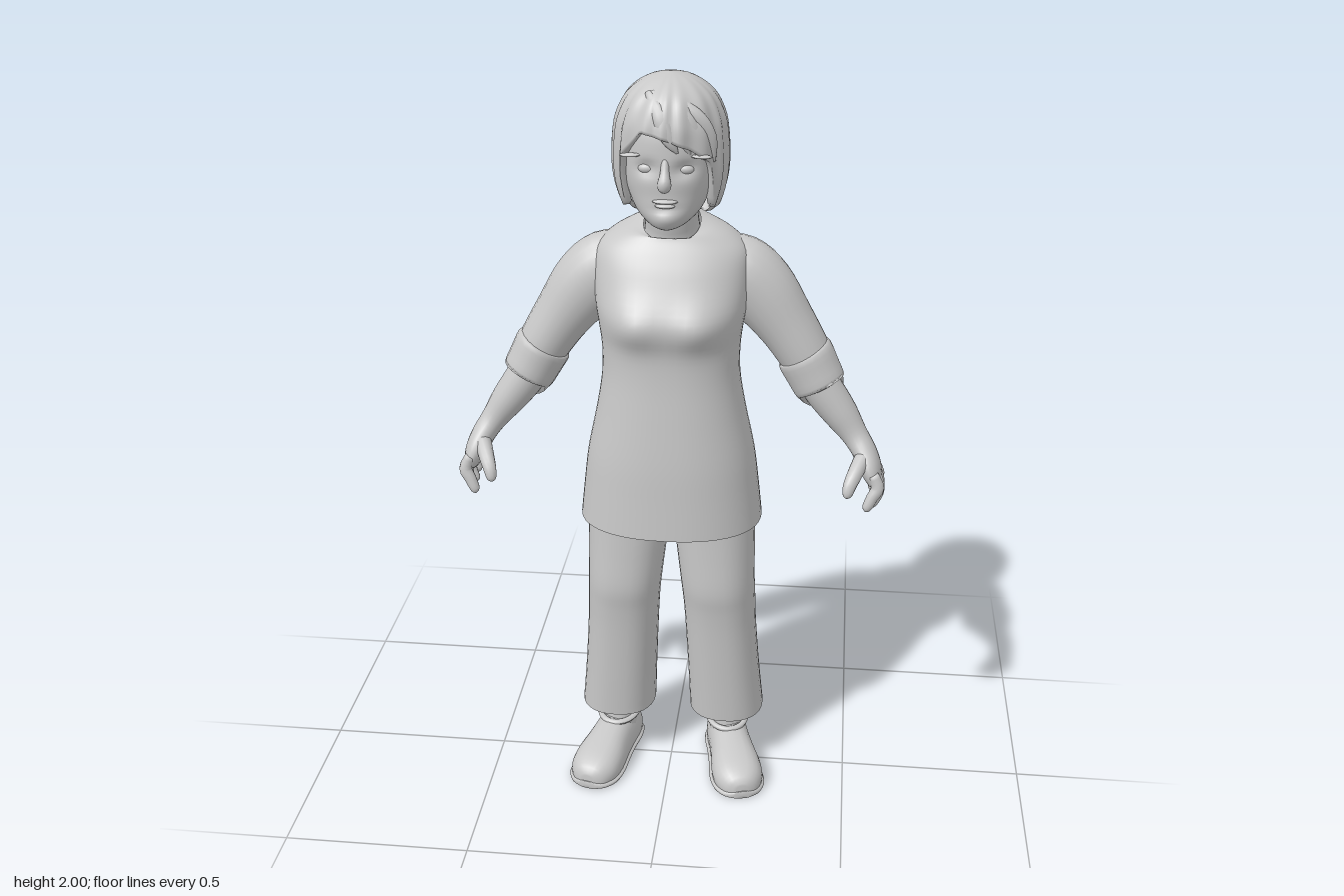
import * as THREE from 'three';

const clay = new THREE.MeshStandardMaterial({ color: 0xc8c8c8, side: THREE.DoubleSide });
clay.name = 'light grey';
const V = (x, y, z) => new THREE.Vector3(x, y, z);

// Smoothly resample a short table of key rows (Catmull-Rom per column)
function smooth(rows, steps = 4) {
  const out = [], at = i => rows[Math.min(rows.length - 1, Math.max(0, i))];
  for (let i = 0; i < rows.length - 1; i++)
    for (let s = 0; s < steps; s++) {
      const t = s / steps;
      out.push(rows[i].map((b, k) => {
        const a = at(i - 1)[k], c = at(i + 1)[k], d = at(i + 2)[k];
        return b + 0.5 * t * (c - a + t * (2 * a - 5 * b + 4 * c - d + t * (3 * (b - c) + d - a)));
      }));
    }
  out.push(rows[rows.length - 1]);
  return out;
}

// Skin closed rings of points, with optional end caps
function loft(rings, capStart = false, capEnd = false) {
  const n = rings[0].length, pts = rings.flat(), idx = [];
  for (let i = 0; i < rings.length - 1; i++)
    for (let j = 0; j < n; j++) {
      const a = i * n + j, b = i * n + (j + 1) % n;
      idx.push(a, b, b + n, a, b + n, a + n);
    }
  const cap = (i, flip) => {
    const mid = rings[i].reduce((s, p) => s.add(p), V(0, 0, 0)).divideScalar(n);
    const c = pts.push(mid) - 1;
    for (let j = 0; j < n; j++) {
      const a = i * n + j, b = i * n + (j + 1) % n;
      flip ? idx.push(c, b, a) : idx.push(c, a, b);
    }
  };
  if (capStart) cap(0, true);
  if (capEnd) cap(rings.length - 1, false);
  const g = new THREE.BufferGeometry().setFromPoints(pts);
  g.setIndex(idx);
  g.computeVertexNormals();
  return g;
}

// Horizontal ring from [y, halfWidth, zFront, zBack, frontDrop, xCentre]
function level([y, a, zf, zb, drop = 0, x = 0], n = 40, power = 2.3) {
  const sp = v => Math.sign(v) * Math.abs(v) ** (2 / power);
  return Array.from({ length: n }, (_, j) => {
    const t = j / n * Math.PI * 2, s = sp(Math.sin(t));
    return V(x + a * sp(Math.cos(t)), y + drop * s, (zf + zb) / 2 - (zf - zb) / 2 * s);
  });
}

// Limb along rows of [x, y, z, radiusInFrontPlane, radiusInDepth]
function limb(rows, steps = 4, n = 20) {
  const r = smooth(rows, steps), c = r.map(p => V(p[0], p[1], p[2]));
  return loft(r.map((p, i) => {
    const t = c[Math.min(i + 1, c.length - 1)].clone().sub(c[Math.max(i - 1, 0)]).normalize();
    const u = t.clone().cross(V(0, 0, 1)).normalize(), v = t.clone().cross(u);
    return Array.from({ length: n }, (_, j) => {
      const a = j / n * Math.PI * 2;
      return c[i].clone().addScaledVector(u, Math.cos(a) * p[3]).addScaledVector(v, Math.sin(a) * p[4]);
    });
  }), true, true);
}

// Shoe sections along z from [z, halfWidth, height], flat underneath
function shoeForm(rows) {
  const g = loft(smooth(rows, 3).map(([z, w, h]) => Array.from({ length: 24 }, (_, j) => {
    const a = j / 24 * Math.PI * 2, s = Math.sin(a), m = h * 0.35;
    return V(w * Math.sign(Math.cos(a)) * Math.abs(Math.cos(a)) ** 0.8, s > 0 ? m + (h - m) * s : m * (1 - Math.abs(s) ** 0.4), z);
  })), true, true);
  return g.rotateY(0.24).translate(0.18, 0, 0.03);
}

function blob(x, y, z, sx, sy, sz) {
  return new THREE.SphereGeometry(1, 20, 14).scale(sx, sy, sz).translate(x, y, z);
}

function mirrored(g) {
  const m = g.clone().scale(-1, 1, 1), i = m.index.array;
  for (let k = 0; k < i.length; k += 3) [i[k], i[k + 1]] = [i[k + 1], i[k]];
  m.computeVertexNormals();
  return m;
}

function displace(g, fn) {
  const p = g.attributes.position;
  for (let i = 0; i < p.count; i++) p.setZ(i, p.getZ(i) + fn(p.getX(i), p.getY(i), p.getZ(i)));
  g.computeVertexNormals();
  return g;
}
const bump = (x, y, cx, cy, rx, ry) => Math.exp(-(((x - cx) / rx) ** 2) - ((y - cy) / ry) ** 2);

// Hair: columns run from the crown down to a hairline that varies with angle
function hairShell() {
  const profile = smooth([[1.61, 0.08, 0.075, -0.08], [1.66, 0.115, 0.12, -0.108], [1.72, 0.136, 0.15, -0.132],
    [1.78, 0.144, 0.163, -0.148], [1.85, 0.141, 0.168, -0.149], [1.9, 0.132, 0.163, -0.14],
    [1.95, 0.106, 0.138, -0.108], [1.985, 0.06, 0.085, -0.05], [2.0, 0.004, 0.024, 0.016]], 6);
  const line = [[-180, 1.63], [-110, 1.64], [-88, 1.69], [-72, 1.67], [-58, 1.69], [-50, 1.81], [-25, 1.88],
    [0, 1.865], [25, 1.84], [48, 1.8], [58, 1.69], [72, 1.67], [88, 1.69], [110, 1.64], [180, 1.63]];
  const look = (table, v) => {
    let i = 1;
    while (i < table.length - 1 && table[i][0] < v) i++;
    const a = table[i - 1], b = table[i], t = Math.min(1, Math.max(0, (v - a[0]) / (b[0] - a[0])));
    return a.map((q, k) => q + (b[k] - q) * t);
  };
  const rings = [], n = 108, steps = 26;
  for (let i = 0; i <= steps + 2; i++) {
    const s = Math.min(1, i / steps), tuck = 1 - 0.07 * Math.max(0, i - steps);
    rings.push(Array.from({ length: n }, (_, j) => {
      const deg = -180 + j / n * 360, phi = deg * Math.PI / 180;
      const y = 2 - (2 - look(line, deg)[1]) * s ** 1.6;
      const [, a, zf, zb] = look(profile, y);
      const strand = 1 + 0.022 * Math.min(1, s * 2) * Math.sin(phi * 17 + 2.5 * s + Math.sin(phi * 5));
      const k = strand * tuck;
      return V(a * k * Math.sin(phi), y, (zf + zb) / 2 + (zf - zb) / 2 * k * Math.cos(phi));
    }).reverse());
  }
  return loft(rings.map(r => r.reverse()).reverse());
}

export function createModel() {
  const model = new THREE.Group();
  const add = (name, g) => {
    const m = new THREE.Mesh(g, clay);
    m.name = name;
    model.add(m);
  };
  const pair = (name, g) => {
    add('left ' + name, g);
    add('right ' + name, mirrored(g));
  };

  // Tunic with a flared hem and dropped neckline
  const tunic = loft(smooth([[0.8, 0.245, 0.178, -0.195], [0.9, 0.234, 0.173, -0.185], [1.0, 0.221, 0.168, -0.172],
    [1.12, 0.196, 0.157, -0.152], [1.22, 0.18, 0.148, -0.138], [1.3, 0.18, 0.146, -0.138], [1.36, 0.187, 0.15, -0.145],
    [1.42, 0.196, 0.142, -0.15], [1.5, 0.2, 0.11, -0.155], [1.55, 0.192, 0.082, -0.15], [1.585, 0.155, 0.062, -0.138],
    [1.606, 0.11, 0.056, -0.118], [1.614, 0.072, 0.056, -0.09]].map((r, i) => [...r, [0.005, 0.015, 0.03][i - 10] || 0]), 4)
    .map(r => level(r, 56)));
  add('tunic', displace(tunic, (x, y, z) => z < 0.03 ? 0 :
    0.03 * (bump(x, y, 0.08, 1.385, 0.07, 0.055) + bump(x, y, -0.08, 1.385, 0.07, 0.055))));
  // Sleeves with turned-up cuffs
  pair('sleeve', limb([[0.1, 1.5, -0.05, 0.075, 0.06], [0.165, 1.478, -0.05, 0.098, 0.08], [0.225, 1.43, -0.05, 0.094, 0.082],
    [0.29, 1.345, -0.05, 0.078, 0.078], [0.34, 1.268, -0.047, 0.07, 0.074], [0.365, 1.222, -0.043, 0.066, 0.068]]));
  pair('cuff', limb([[0.338, 1.27, -0.045, 0.062, 0.064], [0.345, 1.258, -0.045, 0.075, 0.077], [0.368, 1.215, -0.04, 0.073, 0.073],
    [0.389, 1.176, -0.035, 0.069, 0.068], [0.388, 1.178, -0.035, 0.055, 0.055]], 3));

  // Forearm and hand
  pair('forearm', limb([[0.36, 1.22, -0.035, 0.05, 0.05], [0.4, 1.16, -0.035, 0.052, 0.052], [0.445, 1.1, -0.03, 0.046, 0.048],
    [0.485, 1.045, -0.018, 0.035, 0.037], [0.512, 1.005, -0.005, 0.032, 0.046], [0.53, 0.965, 0.008, 0.03, 0.06],
    [0.543, 0.93, 0.012, 0.02, 0.055]]));
  for (let i = 0; i < 4; i++) {
    const z = 0.062 - i * 0.035, low = [0.004, 0, 0.002, 0.016][i], inward = i === 0 ? 0.014 : 0;
    pair('finger ' + (i + 1), limb([[0.538, 0.965, z - 0.004, 0.014, 0.015], [0.551, 0.93, z, 0.0175, 0.0165],
      [0.552 - inward, 0.9 + low, z + 0.006, 0.016, 0.015], [0.539 - inward, 0.872 + low, z + 0.011, 0.013, 0.013],
      [0.533 - inward, 0.864 + low, z + 0.012, 0.006, 0.006]], 3, 12));
  }
  pair('thumb', limb([[0.51, 1.0, 0.02, 0.022, 0.024], [0.492, 0.975, 0.065, 0.021, 0.02], [0.478, 0.95, 0.093, 0.018, 0.016],
    [0.472, 0.925, 0.102, 0.013, 0.013], [0.471, 0.917, 0.103, 0.005, 0.005]], 3, 12));

  // Trousers with open hems
  pair('trouser leg', loft(smooth([[0.165, 0.105, 0.065, -0.16, 0, 0.156], [0.3, 0.101, 0.075, -0.143, 0, 0.147],
    [0.45, 0.099, 0.087, -0.126, 0, 0.138], [0.53, 0.1, 0.096, -0.12, 0, 0.134], [0.6, 0.102, 0.106, -0.119, 0, 0.129],
    [0.7, 0.107, 0.103, -0.124, 0, 0.122], [0.8, 0.112, 0.1, -0.13, 0, 0.116], [0.95, 0.115, 0.1, -0.13, 0, 0.108]], 4)
    .map(r => level(r, 32)), false, true));
  add('trouser seat', blob(0, 0.93, -0.015, 0.21, 0.11, 0.115));

  // Ankles and slip-on shoes
  pair('ankle', limb([[0.158, 0.05, -0.045, 0.05, 0.058], [0.155, 0.12, -0.05, 0.049, 0.052], [0.153, 0.2, -0.052, 0.052, 0.054],
    [0.15, 0.34, -0.045, 0.06, 0.06]]));
  const shoe = [[-0.167, 0.022, 0.05], [-0.155, 0.045, 0.085], [-0.11, 0.057, 0.118], [-0.05, 0.059, 0.112], [0.01, 0.064, 0.102],
    [0.07, 0.071, 0.09], [0.12, 0.067, 0.077], [0.155, 0.046, 0.06], [0.168, 0.02, 0.04]];
  pair('shoe', shoeForm(shoe));
  pair('shoe sole', shoeForm(shoe.map(([z, w]) => [z * 1.02, w * 1.05 + 0.002, 0.022])));
  pair('shoe collar', new THREE.TorusGeometry(0.054, 0.008, 8, 28).rotateX(Math.PI / 2).scale(1, 1, 1.15)
    .rotateX(0.12).rotateY(0.24).translate(0.158, 0.112, -0.045));

  // Neck and head with eye hollows, brow and chin
  add('neck', limb([[0, 1.53, -0.03, 0.08, 0.08], [0, 1.6, -0.02, 0.07, 0.074], [0, 1.65, -0.005, 0.066, 0.07], [0, 1.73, 0.005, 0.068, 0.07]], 4, 28));
  const head = loft(smooth([[1.637, 0.026, 0.135, 0.05], [1.648, 0.05, 0.149, 0.0], [1.675, 0.08, 0.154, -0.05],
    [1.72, 0.103, 0.152, -0.08], [1.76, 0.114, 0.154, -0.1], [1.82, 0.118, 0.153, -0.11], [1.88, 0.114, 0.145, -0.11],
    [1.94, 0.085, 0.11, -0.08], [1.97, 0.03, 0.045, -0.03]], 6).map(r => level(r, 72, 2.1)), true, true);
  add('head', displace(head, (x, y, z) => z < 0.05 ? 0 :
    -0.014 * (bump(x, y, 0.046, 1.79, 0.026, 0.018) + bump(x, y, -0.046, 1.79, 0.026, 0.018))
    + 0.006 * bump(x, y, 0, 1.668, 0.03, 0.016) - 0.005 * bump(x, y, 0, 1.692, 0.03, 0.007)));
  add('nose', limb([[0, 1.815, 0.143, 0.01, 0.01], [0, 1.785, 0.154, 0.011, 0.013], [0, 1.76, 0.165, 0.017, 0.019],
    [0, 1.748, 0.158, 0.014, 0.014], [0, 1.742, 0.15, 0.006, 0.006]], 4, 16));
  add('upper lip', blob(0, 1.713, 0.15, 0.031, 0.006, 0.012));
  add('lower lip', blob(0, 1.702, 0.149, 0.025, 0.006, 0.012));
  pair('eye', blob(0.046, 1.788, 0.125, 0.022, 0.013, 0.014));
  pair('eyebrow', blob(0.05, 1.822, 0.133, 0.026, 0.005, 0.01).rotateZ(-0.02));
  pair('ear', blob(0.122, 1.765, 0.02, 0.018, 0.04, 0.025));

  // Hair shell and swept fringe locks
  add('hair', hairShell());
  for (let i = 0; i < 4; i++)
    add('fringe lock ' + (i + 1), limb([[-0.045 + i * 0.008, 1.965, 0.105, 0.008, 0.006], [-0.015 + i * 0.026, 1.92, 0.146 - i * 0.008, 0.02, 0.012],
      [0.01 + i * 0.031, 1.865, 0.156 - i * 0.014, 0.017, 0.01], [0.03 + i * 0.028, 1.832 - i * 0.01, 0.15 - i * 0.017, 0.003, 0.003]], 4, 12));
  return model;
}
